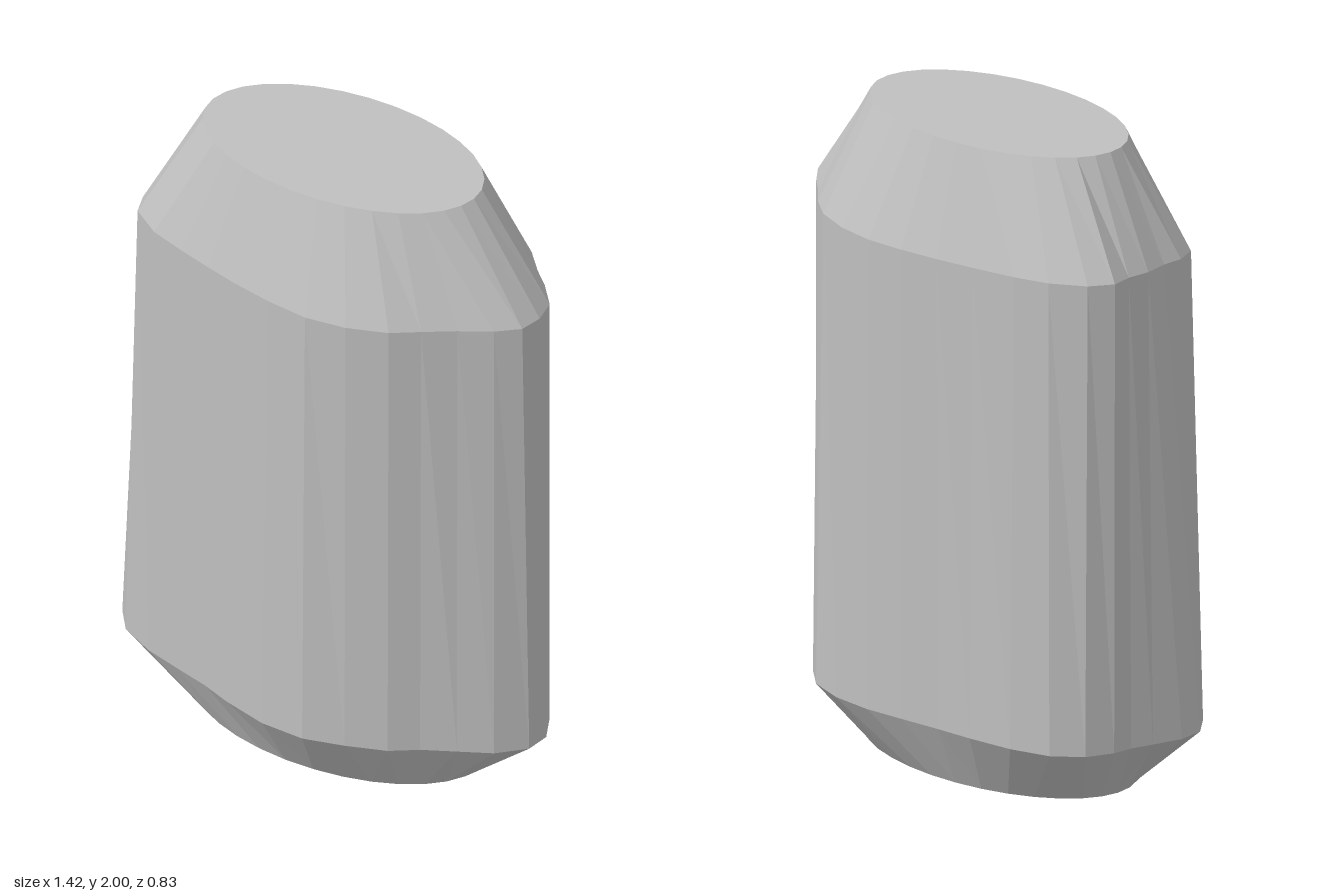
import * as THREE from 'three';

const SIDES = 32;

// Elliptical ring of points [x, z]
function ellipse(cx, cz, rx, rz) {
  return Array.from({ length: SIDES }, (_, i) => {
    const t = (i / SIDES) * Math.PI * 2;
    return [cx + rx * Math.cos(t), cz + rz * Math.sin(t)];
  });
}

// Irregular outline at the bottom edge of the body
const lowerOutline = [
  [0.71, -0.01], [0.705, 0.07], [0.635, 0.15], [0.54, 0.205], [0.445, 0.26], [0.37, 0.32], [0.25, 0.37], [0.125, 0.41],
  [-0.02, 0.41], [-0.17, 0.375], [-0.275, 0.34], [-0.4, 0.31], [-0.52, 0.28], [-0.64, 0.225], [-0.705, 0.15], [-0.715, 0.065],
  [-0.69, -0.03], [-0.67, -0.1], [-0.665, -0.165], [-0.63, -0.25], [-0.55, -0.32], [-0.425, -0.36], [-0.275, -0.38], [-0.15, -0.39],
  [-0.01, -0.405], [0.12, -0.418], [0.26, -0.41], [0.385, -0.37], [0.47, -0.3], [0.54, -0.22], [0.6, -0.16], [0.665, -0.09],
];

// Slightly tighter outline at the top edge of the body
const upperOutline = [
  [0.69, -0.005], [0.68, 0.07], [0.62, 0.13], [0.53, 0.19], [0.445, 0.255], [0.37, 0.315], [0.25, 0.365], [0.12, 0.388],
  [-0.02, 0.378], [-0.16, 0.355], [-0.27, 0.33], [-0.39, 0.3], [-0.51, 0.265], [-0.615, 0.2], [-0.645, 0.13], [-0.645, 0.06],
  [-0.66, -0.02], [-0.655, -0.095], [-0.668, -0.165], [-0.625, -0.235], [-0.525, -0.3], [-0.415, -0.335], [-0.27, -0.365], [-0.14, -0.388],
  [-0.01, -0.405], [0.12, -0.413], [0.25, -0.395], [0.375, -0.35], [0.465, -0.285], [0.535, -0.215], [0.6, -0.16], [0.67, -0.085],
];

function meshFrom(name, positions, material) {
  const geometry = new THREE.BufferGeometry();
  geometry.setAttribute('position', new THREE.Float32BufferAttribute(positions, 3));
  geometry.computeVertexNormals();
  const mesh = new THREE.Mesh(geometry, material);
  mesh.name = name;
  return mesh;
}

// Faceted wall between two rings
function wall(name, low, high, material) {
  const p = [];
  const at = (ring, i) => {
    const [x, z] = ring.points[i % SIDES];
    return [x, ring.y, z];
  };
  for (let i = 0; i < SIDES; i++) {
    const a = at(low, i), b = at(low, i + 1), c = at(high, i), d = at(high, i + 1);
    p.push(...a, ...c, ...d, ...a, ...d, ...b);
  }
  return meshFrom(name, p, material);
}

// Flat elliptical cap
function cap(name, ring, cx, cz, up, material) {
  const p = [];
  for (let i = 0; i < SIDES; i++) {
    const a = ring.points[i], b = ring.points[(i + 1) % SIDES];
    const [s, t] = up ? [b, a] : [a, b];
    p.push(cx, ring.y, cz, s[0], ring.y, s[1], t[0], ring.y, t[1]);
  }
  return meshFrom(name, p, material);
}

export function createModel() {
  const grey = new THREE.MeshStandardMaterial({ color: 0xbfbfbf });
  grey.name = 'grey';
  grey.flatShading = true;

  const bottom = { y: 0, points: ellipse(-0.025, -0.007, 0.495, 0.288) };
  const lower = { y: 0.2, points: lowerOutline };
  const upper = { y: 1.67, points: upperOutline };
  const top = { y: 2, points: ellipse(-0.02, -0.01, 0.47, 0.273) };

  const model = new THREE.Group();
  model.name = 'facetedVessel';
  model.add(
    cap('bottomFace', bottom, -0.025, -0.007, false, grey),
    wall('baseTaper', bottom, lower, grey),
    wall('body', lower, upper, grey),
    wall('shoulder', upper, top, grey),
    cap('topFace', top, -0.02, -0.01, true, grey),
  );
  return model;
}
